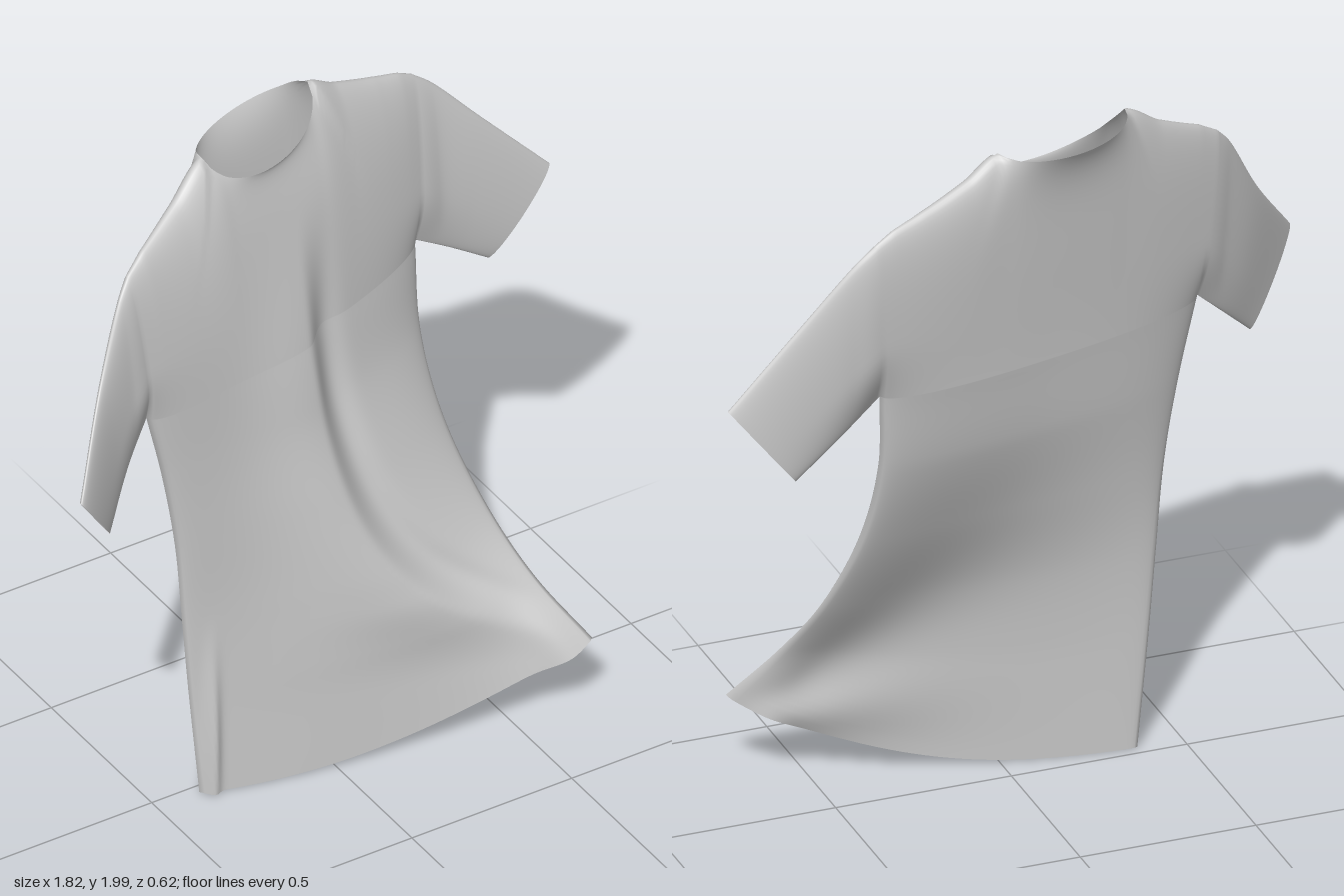
import * as THREE from 'three';
import { mergeVertices } from 'three/addons/utils/BufferGeometryUtils.js';

const V = (x, y, z) => new THREE.Vector3(x, y, z);
const spline = (pts) => new THREE.CatmullRomCurve3(pts.map((p) => V(...p)));
const lerp = THREE.MathUtils.lerp;
const smooth = THREE.MathUtils.smoothstep;
const gauss = (d, w) => Math.exp(-((d / w) ** 2));

const NU = 112, NT = 56, NS = 28, NK = 24; // across, hem to armpit, armhole, along sleeve
const NECK_A = 32 / NU, NECK_B = 74 / NU;  // neck opening along the shoulder line
const CHEST = 0.085, ARMHOLE = 0.047;      // half thickness of chest and armhole

// Side seams from hem to armpit
const rightSeam = spline([[-0.37, 0.01, 0.03], [-0.4, 0.36, 0.022], [-0.42, 0.6, 0.022],
  [-0.445, 0.85, 0.028], [-0.49, 1.1, 0.035], [-0.545, 1.32, 0.045]]);
const leftSeam = spline([[0.705, 0.25, 0.275], [0.6, 0.42, 0.16], [0.53, 0.6, 0.035],
  [0.468, 0.85, -0.09], [0.45, 1.1, -0.18], [0.465, 1.34, -0.23]]);
// Half thickness and forward bow at the same heights
const fullness = spline([[0.025, -0.02, 0], [0.03, 0.02, 0], [0.042, 0.042, 0],
  [0.065, 0.03, 0], [0.08, 0.008, 0], [CHEST, 0, 0]]);
// Shoulder line
const shoulderPts = [[-0.6, 1.805, 0], [-0.54, 1.845, 0], [-0.4, 1.915, 0], [-0.286, 1.99, 0],
  [-0.24, 1.987, 0], [0.08, 1.993, 0], [0.127, 1.998, 0], [0.22, 1.945, 0], [0.36, 1.89, 0],
  [0.45, 1.858, 0], [0.5, 1.83, 0]];
const shoulderLine = spline(shoulderPts);
const shoulderZ = [0.037, -0.295];

function shoulderY(x) {
  let i = 0;
  while (i < shoulderPts.length - 2 && x > shoulderPts[i + 1][0]) i++;
  const [a, b] = [shoulderPts[i][0], shoulderPts[i + 1][0]];
  return shoulderLine.getPoint((i + (x - a) / (b - a)) / (shoulderPts.length - 1)).y;
}

const bell = (u) => 1 - Math.abs(2 * u - 1) ** 2.5;
const across = (u) => Math.sqrt(Math.max(0, bell(u)));
const armholeStep = (j) => (1 - Math.cos((Math.PI * j) / NS)) / 2;
const closeTop = (s) => Math.sqrt(Math.max(0, 1 - s ** 3));
const openArmhole = (s) => Math.sin(Math.min(1, s / 0.35) * Math.PI / 2);

// Draped folds: extra outward depth on the front or back panel
function folds(x, y, u, t, front) {
  const corner = 0.045 * gauss(u - 0.94, 0.06) * (1 - smooth(t, 0, 0.22));
  if (!front) {
    const dx = 0.78 - x, dy = y - 0.15, r = Math.hypot(dx, dy);
    return corner + 0.02 * Math.sin(8 * Math.atan2(dy, dx)) * smooth(r, 0.08, 0.25) * gauss(r, 0.65);
  }
  // Long diagonal fold sweeping from the chest to the pulled hem corner
  const path = 0.05 * 2 ** ((1 - y) / 0.2);
  const d = (x - path + 0.035) / Math.hypot(1, 3.47 * path);
  const amount = smooth(y, 0.22, 0.5) * (1 - smooth(y, 1.15, 1.75));
  const ridge = 0.045 * gauss(d, d < 0 ? 0.18 : 0.045) - 0.02 * gauss(d - 0.09, 0.045);
  // Rolled edge beside the lower side seam
  const roll = 0.055 * gauss(x + 0.343, 0.02) * (1 - smooth(y, 0.1, 0.6));
  return corner + ridge * amount + roll;
}

// Torso below the armpits
function lowerBody(u, t, front) {
  const p = rightSeam.getPoint(t).lerp(leftSeam.getPoint(t), u);
  const f = fullness.getPoint(t);
  const side = front ? 1 : -1, w = across(u);
  p.y -= 0.08 * Math.sin(Math.PI * u) * (1 - t) ** 3;
  if (!front) p.y -= 0.02 * u * w * (1 - t) ** 6;
  p.z += f.y * Math.sin(Math.PI * u ** 1.5) + side * w * (f.x + folds(p.x, p.y, u, t, front));
  p.y = Math.max(0, p.y);
  return p;
}

// Torso from the armpits to the shoulders and neck
function upperBody(u, s, front) {
  const p = rightSeam.getPoint(1).lerp(leftSeam.getPoint(1), u);
  const x = lerp(-0.6, 0.5, u), side = front ? 1 : -1;
  p.lerp(V(x, shoulderY(x), lerp(...shoulderZ, u)), s);
  const n = (2 * u - NECK_A - NECK_B) / (NECK_B - NECK_A) / (1 + 1.5 * (1 - s));
  const neck = Math.sqrt(Math.max(0, 1 - n * n));
  const fold = across(u) * folds(p.x, p.y, u, 1, front) * closeTop(s);
  const chest = lerp(CHEST * across(u), lerp(ARMHOLE, CHEST, bell(u)), openArmhole(s));
  const depth = Math.hypot(closeTop(s) * chest, 0.085 * neck * s ** 4);
  p.y -= (front ? 0.1 : 0.02) * neck * s ** 5;
  p.x += side * 0.3 * s * bell(u) * depth;
  p.z += -0.045 * s * s * Math.sin(Math.PI * u) + side * (depth + fold);
  return p;
}

// Sleeve lofted from the armhole to the open cuff
function sleevePoint(top, bottom, k, s, front) {
  const p = bottom.getPoint(k).lerp(top.getPoint(k), s);
  const base = closeTop(s) * ARMHOLE * openArmhole(s);
  const cuff = 0.026 * Math.sqrt(Math.max(0, 4 * s * (1 - s)));
  p.z += (front ? 1 : -1) * lerp(base, cuff, smooth(k, -0.3, 1) * smooth(k, 0, 0.4));
  return p;
}

export function createModel() {
  const positions = [], index = [], parts = [];

  function addPanel(cols, rows, point, flip) {
    const start = positions.length / 3;
    for (let j = 0; j <= rows; j++)
      for (let i = 0; i <= cols; i++) positions.push(...point(i, j).toArray());
    for (let j = 0; j < rows; j++)
      for (let i = 0; i < cols; i++) {
        const a = start + j * (cols + 1) + i, b = a + 1, d = a + cols + 1, c = d + 1;
        if (flip) index.push(a, c, b, a, d, c);
        else index.push(a, b, c, a, c, d);
      }
  }
  function addPart(name, build) {
    const from = index.length;
    build();
    parts.push({ name, from, to: index.length });
  }

  // Front and back of the torso
  for (const front of [true, false])
    addPart(front ? 'frontBody' : 'backBody', () => {
      addPanel(NU, NT, (i, j) => lowerBody(i / NU, j / NT, front), !front);
      addPanel(NU, NS, (i, j) => upperBody(i / NU, armholeStep(j), front), !front);
    });

  // Sleeves: top edge and underarm edge
  const sleeves = {
    rightSleeve: [[[-0.6, 1.805, 0.037], [-0.645, 1.752, 0.065], [-0.75, 1.565, 0.14], [-0.91, 1.34, 0.3]],
      [[-0.545, 1.32, 0.045], [-0.64, 1.225, 0.1], [-0.75, 1.11, 0.185]]],
    leftSleeve: [[[0.5, 1.83, -0.295], [0.56, 1.78, -0.295], [0.7, 1.625, -0.28], [0.91, 1.395, -0.265]],
      [[0.465, 1.34, -0.23], [0.59, 1.25, -0.255], [0.72, 1.155, -0.27]]],
  };
  for (const [name, [top, bottom]] of Object.entries(sleeves)) {
    const a = spline(top), b = spline(bottom), isRight = name === 'rightSleeve';
    addPart(name, () => {
      for (const front of [true, false])
        addPanel(NK, NS, (i, j) => sleevePoint(a, b, i / NK, armholeStep(j), front), front === isRight);
    });
  }

  // Weld the seams so shading runs smoothly over them, then split into named parts
  let cloth = new THREE.BufferGeometry();
  cloth.setAttribute('position', new THREE.Float32BufferAttribute(positions, 3));
  cloth.setIndex(index);
  cloth = mergeVertices(cloth, 1e-4);
  cloth.computeVertexNormals();

  const material = new THREE.MeshStandardMaterial({ color: 0xcccccc, side: THREE.DoubleSide });
  const shirt = new THREE.Group();
  shirt.name = 'shirt';
  const welded = Array.from(cloth.index.array);
  for (const { name, from, to } of parts) {
    const geometry = new THREE.BufferGeometry();
    geometry.setAttribute('position', cloth.attributes.position);
    geometry.setAttribute('normal', cloth.attributes.normal);
    geometry.setIndex(welded.slice(from, to));
    const mesh = new THREE.Mesh(geometry, material);
    mesh.name = name;
    shirt.add(mesh);
  }
  return shirt;
}
